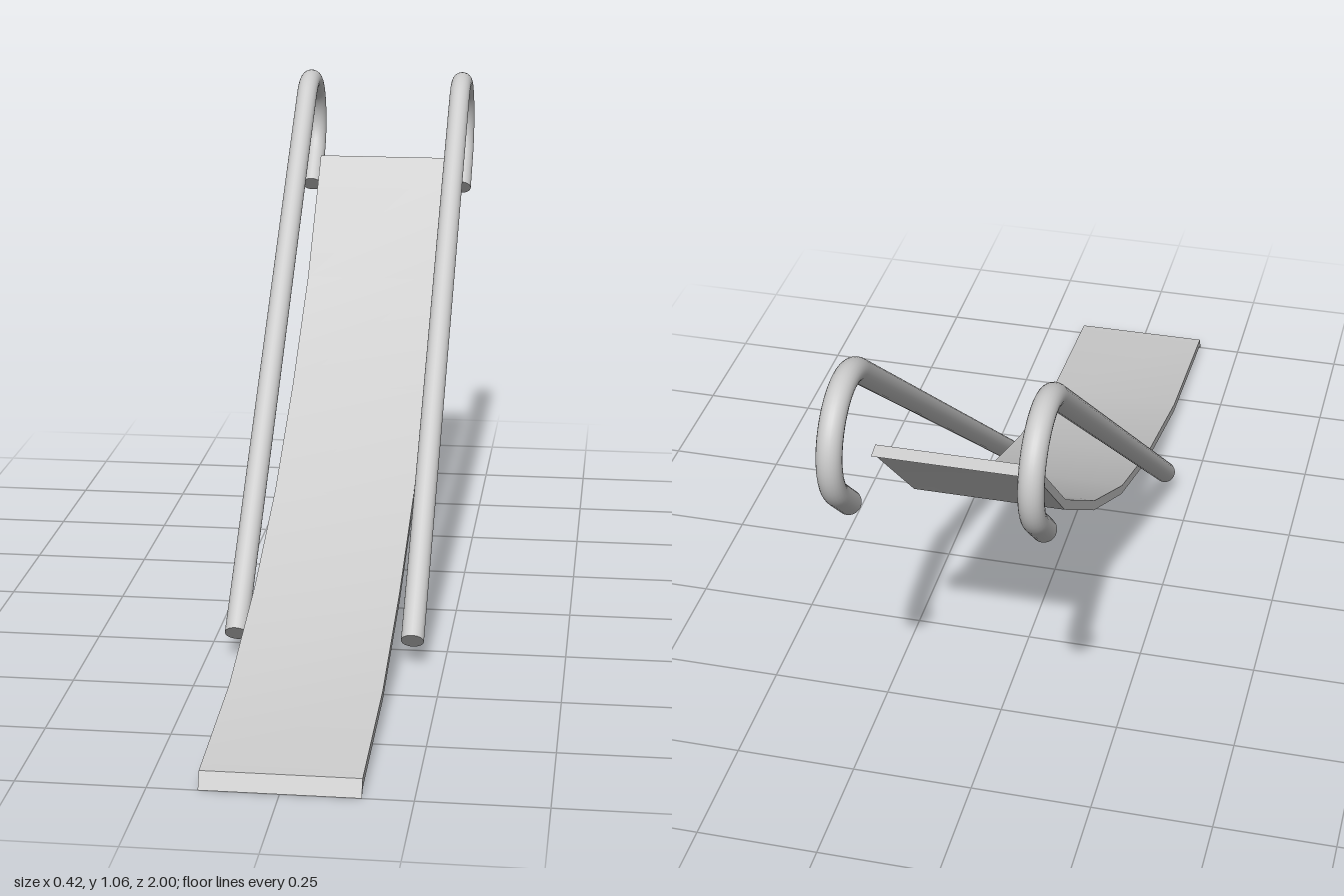
import * as THREE from 'three';
import { toCreasedNormals } from 'three/addons/utils/BufferGeometryUtils.js';

const material = new THREE.MeshStandardMaterial({ color: 0xcccccc });

// Handrail centreline in the y-z plane: straight run, round hook, short straight tail
class HandrailPath extends THREE.Curve {
  constructor() {
    super();
    this.radius = 0.115;
    this.startAngle = THREE.MathUtils.degToRad(50);
    this.sweep = THREE.MathUtils.degToRad(175);
    this.run = 1.483;
    this.arc = this.radius * this.sweep;
    this.tail = 0.092;
  }
  getPoint(t, target = new THREE.Vector3()) {
    const s = t * (this.run + this.arc + this.tail) - this.run;
    const onArc = THREE.MathUtils.clamp(s, 0, this.arc);
    const a = this.startAngle + onArc / this.radius;
    const past = s - onArc; // distance along the tangent outside the arc
    return target.set(
      0,
      0.925 + this.radius * Math.sin(a) + past * Math.cos(a),
      -0.86 + this.radius * Math.cos(a) - past * Math.sin(a)
    );
  }
}

function createHandrail(name, x) {
  const rail = new THREE.Group();
  rail.name = name;
  const path = new HandrailPath();
  const r = 0.024;
  const tube = new THREE.Mesh(new THREE.TubeGeometry(path, 140, r, 24), material);
  tube.name = 'railTube';
  rail.add(tube);

  // Flat discs closing both ends
  for (const t of [0, 1]) {
    const cap = new THREE.Mesh(new THREE.CircleGeometry(r, 24), material);
    cap.name = t ? 'hookEndCap' : 'lowerEndCap';
    const outward = path.getTangent(t).multiplyScalar(t ? 1 : -1);
    cap.position.copy(path.getPoint(t));
    cap.lookAt(cap.position.clone().add(outward));
    rail.add(cap);
  }
  rail.position.x = x;
  return rail;
}

// Curved sheet with a small lip at each end; profile points are [z, y]
function createSlide() {
  const width = 0.306;
  const top = [
    [0.985, 0.033], [0.635, 0.062], [0.3, 0.146], [0, 0.26],
    [-0.287, 0.422], [-0.56, 0.617], [-0.803, 0.864]
  ];
  const bottom = [
    [-0.832, 0.857], [-0.815, 0.85], [-0.569, 0.599], [-0.296, 0.403],
    [-0.006, 0.241], [0.296, 0.127], [0.633, 0.043], [0.982, 0.014], [1, 0]
  ];
  const shape = new THREE.Shape([...top, ...bottom].map(([z, y]) => new THREE.Vector2(z, y)));
  const geometry = new THREE.ExtrudeGeometry(shape, { depth: width, bevelEnabled: false });
  geometry.translate(0, 0, -width / 2).rotateY(-Math.PI / 2);
  const slide = new THREE.Mesh(toCreasedNormals(geometry, Math.PI / 6), material);
  slide.name = 'slideBed';
  return slide;
}

export function createModel() {
  const model = new THREE.Group();
  model.name = 'slide';
  model.add(
    createSlide(),
    createHandrail('leftHandrail', 0.185),
    createHandrail('rightHandrail', -0.185)
  );
  return model;
}
